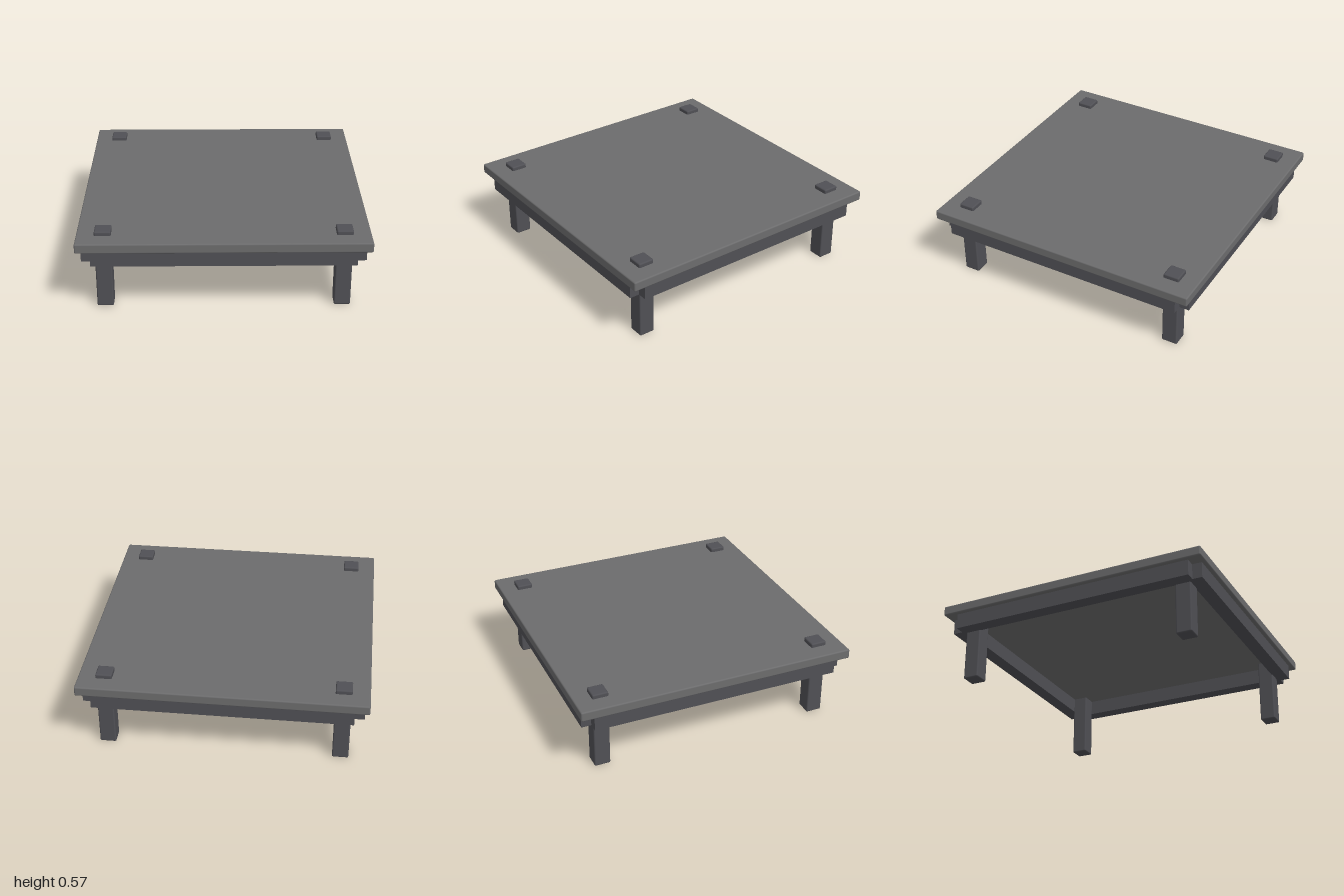
import * as THREE from 'three';
import { RoundedBoxGeometry } from 'three/addons/geometries/RoundedBoxGeometry.js';

export function createModel() {
  const table = new THREE.Group();
  table.name = 'lowTable';
  const topMaterial = new THREE.MeshStandardMaterial({ color: 0x6c6c6d });
  const frameMaterial = new THREE.MeshStandardMaterial({ color: 0x505055 });

  // Adds a mesh that spans yMin..yMax
  function add(name, geometry, material, x, yMin, yMax, z) {
    const mesh = new THREE.Mesh(geometry, material);
    mesh.name = name;
    mesh.position.set(x, (yMin + yMax) / 2, z);
    table.add(mesh);
    return mesh;
  }

  // Square top with softened edges
  add('tableTop', new RoundedBoxGeometry(2, 0.07, 2, 2, 0.01), topMaterial, 0, 0.475, 0.545, 0);

  // Four legs that pass through the top and show as small caps
  const legGeometry = new RoundedBoxGeometry(0.114, 0.575, 0.114, 2, 0.01);
  for (const [side, sx] of [['left', 1], ['right', -1]]) {
    for (const [end, sz] of [['Front', 1], ['Back', -1]]) {
      add(side + end + 'Leg', legGeometry, frameMaterial, sx * 0.82, 0, 0.575, sz * 0.82);
    }
  }

  // Four apron rails outside the legs, stopping short to leave a notch at each corner
  const railGeometry = new THREE.BoxGeometry(1.8, 0.115, 0.1);
  ['front', 'left', 'back', 'right'].forEach((side, i) => {
    const angle = i * Math.PI / 2;
    const rail = add(side + 'Apron', railGeometry, frameMaterial,
      Math.sin(angle) * 0.92, 0.363, 0.478, Math.cos(angle) * 0.92);
    rail.rotation.y = angle;
  });

  return table;
}
